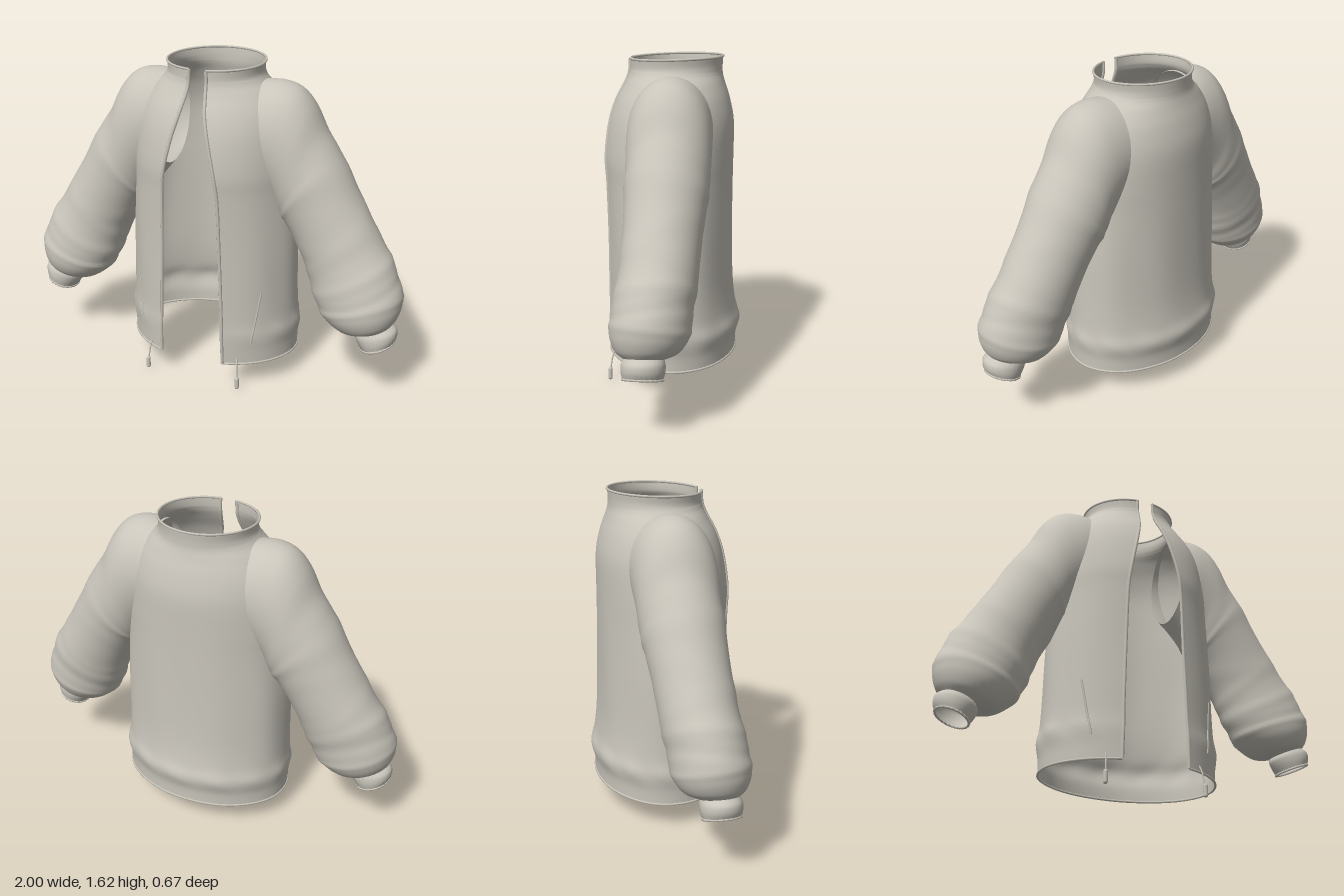
import * as THREE from 'three';

const fabric = new THREE.MeshStandardMaterial({ color: 0xc9c5bb, side: THREE.DoubleSide });
fabric.name = 'stone grey fabric';

// Smoothly resample a table of rows, each column on its own
function resample(rows, steps) {
  const out = [];
  const at = i => rows[Math.max(0, Math.min(rows.length - 1, i))];
  for (let i = 0; i < rows.length - 1; i++) {
    for (let s = 0; s < steps; s++) {
      const t = s / steps;
      out.push(rows[i].map((_, c) => {
        const [a, b, d, e] = [at(i - 1)[c], at(i)[c], at(i + 1)[c], at(i + 2)[c]];
        const m0 = (d - a) / 2, m1 = (e - b) / 2;
        return b + m0 * t + (3 * (d - b) - 2 * m0 - m1) * t * t + (2 * (b - d) + m0 + m1) * t * t * t;
      }));
    }
  }
  out.push(rows[rows.length - 1]);
  return out;
}

// Skin a list of rings; closed rings share their seam
function loft(rings, closed) {
  const n = rings[0].length, pos = [], idx = [];
  rings.forEach(r => r.forEach(p => pos.push(p.x, p.y, p.z)));
  for (let i = 0; i < rings.length - 1; i++) {
    for (let j = 0; j < (closed ? n : n - 1); j++) {
      const a = i * n + j, b = i * n + (j + 1) % n, c = a + n, d = b + n;
      idx.push(a, b, d, a, d, c);
    }
  }
  const g = new THREE.BufferGeometry();
  g.setAttribute('position', new THREE.Float32BufferAttribute(pos, 3));
  g.setIndex(idx);
  g.computeVertexNormals();
  return g;
}

function add(parent, name, geometry) {
  const m = new THREE.Mesh(geometry, fabric);
  m.name = name;
  parent.add(m);
  return m;
}

function cord(points, radius, closed = false) {
  const curve = new THREE.CatmullRomCurve3(points, closed);
  return new THREE.TubeGeometry(curve, Math.min(90, points.length * 3), radius, 6, closed);
}

const bump = (v, centre, width) => Math.exp(-(((v - centre) / width) ** 2));

// Body sections: height, half width, front depth, back depth, half opening
const BODY = [
  [0.13, 0.445, 0.335, 0.315, 0.170],
  [0.20, 0.447, 0.337, 0.318, 0.169],
  [0.28, 0.456, 0.338, 0.335, 0.167],
  [0.36, 0.445, 0.335, 0.314, 0.165],
  [0.50, 0.440, 0.335, 0.299, 0.161],
  [0.75, 0.435, 0.335, 0.293, 0.153],
  [1.00, 0.420, 0.342, 0.292, 0.145],
  [1.13, 0.415, 0.347, 0.293, 0.130],
  [1.29, 0.395, 0.324, 0.293, 0.094],
  [1.40, 0.360, 0.288, 0.273, 0.066],
  [1.48, 0.305, 0.245, 0.248, 0.051],
  [1.525, 0.258, 0.226, 0.236, 0.046],
  [1.56, 0.238, 0.221, 0.234, 0.045],
  [1.605, 0.240, 0.220, 0.237, 0.043],
];

function bodyRing([y, hx, zf, zb, gap]) {
  const start = Math.asin(gap / hx), n = 72, ring = [];
  const loose = bump(y, 0.65, 0.4);
  for (let j = 0; j <= n; j++) {
    const a = start + (2 * Math.PI - 2 * start) * j / n;
    // soft hanging folds and uneven gathers over the hem
    const edge = Math.min(1, Math.sin(Math.PI * j / n) * 3);
    const k = 1 + edge * (0.008 * loose * Math.sin(a * 9 + y * 2)
      + 0.008 * bump(y, 0.29, 0.05) * Math.sin(a * 13 + y * 20));
    const c = Math.cos(a);
    ring.push(new THREE.Vector3(hx * Math.sin(a) * k, y - (y > 1.55 ? 0.03 * c * 0.22 : 0), (c > 0 ? zf : zb) * c * k));
  }
  return ring;
}

// Sleeve sections: outer x, y, inner x, y, centre z, half depth
const SLEEVE = [
  [0.24, 1.530, 0.24, 1.05, -0.005, 0.195],
  [0.34, 1.537, 0.28, 1.00, 0, 0.200],
  [0.43, 1.510, 0.31, 0.96, 0, 0.200],
  [0.50, 1.435, 0.34, 0.92, 0, 0.198],
  [0.56, 1.320, 0.36, 0.88, 0, 0.196],
  [0.63, 1.215, 0.385, 0.845, 0.003, 0.192],
  [0.75, 1.005, 0.425, 0.79, 0.010, 0.182],
  [0.85, 0.835, 0.485, 0.68, 0.018, 0.178],
  [0.93, 0.710, 0.530, 0.575, 0.032, 0.180],
  [0.985, 0.590, 0.575, 0.46, 0.048, 0.183],
  [0.995, 0.510, 0.625, 0.395, 0.054, 0.176],
  [0.98, 0.445, 0.705, 0.345, 0.062, 0.140],
  [0.955, 0.405, 0.790, 0.345, 0.072, 0.090],
];
const CUFF = [
  [0.955, 0.405, 0.790, 0.345, 0.072, 0.088],
  [0.982, 0.385, 0.786, 0.325, 0.074, 0.096],
  [0.986, 0.350, 0.800, 0.295, 0.075, 0.096],
  [0.975, 0.318, 0.822, 0.262, 0.076, 0.088],
];

// fold = [row position, width, height, slant]
const FOLDS = [[5, 0.25, 0.025, 0.4], [6.3, 0.3, 0.012, -0.5], [7.3, 0.25, 0.015, 0.5],
  [8.15, 0.2, 0.028, 0.3], [8.8, 0.18, -0.022, 0.3], [9.5, 0.22, 0.018, -0.2]];

function sleeveRing([ox, oy, ix, iy, cz, rz], side, v, ribs) {
  const n = 48, ring = [];
  for (let j = 0; j < n; j++) {
    const a = 2 * Math.PI * j / n;
    let k = 1;
    if (ribs) k += 0.015 * Math.cos(a * 24);
    else for (const [p, w, h, slant] of FOLDS) k += h * bump(v + slant * Math.sin(a + p), p, w);
    const u = Math.cos(a) * k / 2;
    ring.push(new THREE.Vector3(side * ((ox + ix) / 2 + (ox - ix) * u), (oy + iy) / 2 + (oy - iy) * u,
      cz + rz * Math.sin(a) * k));
  }
  return ring;
}

export function createModel() {
  const jacket = new THREE.Group();
  jacket.name = 'jacket';

  // Body and standing collar
  const rings = resample(BODY, 5).map(bodyRing);
  const split = 11 * 5;
  add(jacket, 'body', loft(rings.slice(0, split + 1), false));
  add(jacket, 'collar', loft(rings.slice(split), false));

  // Bound edges at hem and collar
  add(jacket, 'hemEdge', cord(rings[0], 0.006));
  add(jacket, 'collarEdge', cord(rings[rings.length - 1], 0.006));

  // Height lookup for details lying on the front
  const sections = resample(BODY, 5);
  const onFront = (x, y, lift) => {
    const s = sections.reduce((b, r) => Math.abs(r[0] - y) < Math.abs(b[0] - y) ? r : b);
    return new THREE.Vector3(x, y, s[2] * Math.sqrt(1 - (x / s[1]) ** 2) + lift);
  };

  for (const side of [1, -1]) {
    const label = side > 0 ? 'left' : 'right';

    // Zip tape along the front edge
    const edge = rings.map(r => r[side > 0 ? 0 : r.length - 1]);
    add(jacket, label + 'Zip', cord(edge, 0.009));

    // Sleeve and ribbed cuff
    const steps = 6;
    const arm = resample(SLEEVE, steps).map((r, i) => sleeveRing(r, side, i / steps, false));
    add(jacket, label + 'Sleeve', loft(arm, true));
    const cuff = resample(CUFF, 4).map(r => sleeveRing(r, side, 0, true));
    add(jacket, label + 'Cuff', loft(cuff, true));
    add(jacket, label + 'CuffEdge', cord(cuff[cuff.length - 1], 0.006, true));

    // Slanted pocket welt
    const welt = [];
    for (let i = 0; i <= 6; i++) {
      const t = i / 6;
      welt.push(onFront(side * (0.337 - 0.037 * t), 0.52 - 0.28 * t, 0.001));
    }
    add(jacket, label + 'Pocket', cord(welt, 0.005));

    // Hem drawcord with its toggle
    add(jacket, label + 'Drawcord', cord([
      new THREE.Vector3(side * 0.238, 0.16, 0.282),
      new THREE.Vector3(side * 0.243, 0.13, 0.296),
      new THREE.Vector3(side * 0.250, 0.06, 0.308)], 0.004));
    const toggle = add(jacket, label + 'Toggle', new THREE.CapsuleGeometry(0.011, 0.045, 4, 10));
    toggle.position.set(side * 0.251, 0.036, 0.31);
  }
  return jacket;
}
